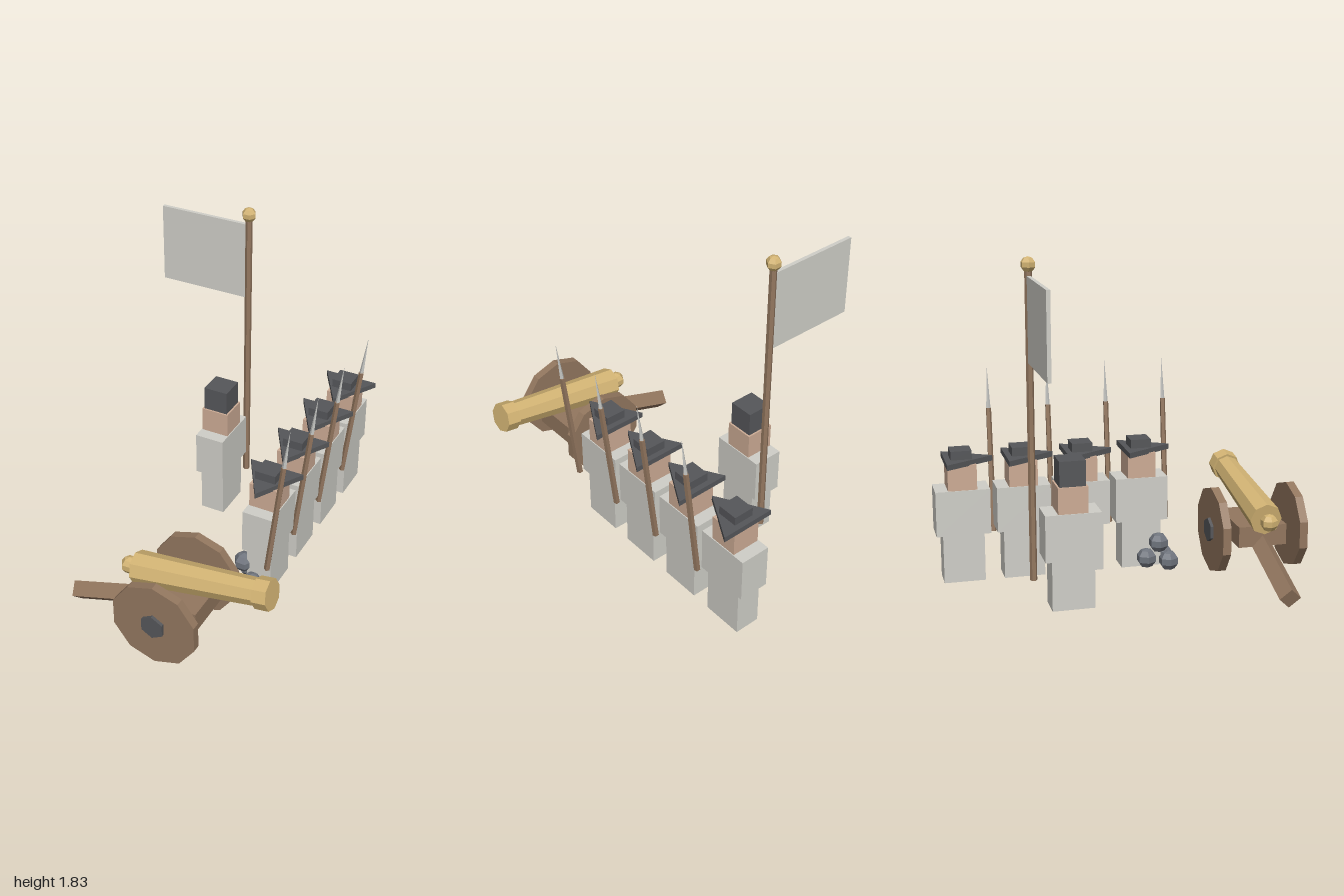
import * as THREE from 'three';

const paint = (name, color) => {
  const m = new THREE.MeshStandardMaterial({ color });
  m.name = name;
  return m;
};

export function createModel() {
  const cloth = paint('pale cloth', 0xd0cfc8);
  const skin = paint('skin', 0xcdac95);
  const felt = paint('dark felt', 0x56575a);
  const wood = paint('wood', 0x93775f);
  const brass = paint('brass', 0xd3b474);
  const iron = paint('iron', 0x70757e);
  const steel = paint('steel', 0xcacbc8);

  const root = new THREE.Group();
  root.name = 'gunCrew';
  const V = (x, y, z) => new THREE.Vector3(x, y, z);

  const group = (name, x = 0, y = 0, z = 0) => {
    const g = new THREE.Group();
    g.name = name;
    g.position.set(x, y, z);
    root.add(g);
    return g;
  };

  // Every part is faceted: split the faces and give each a flat normal
  const add = (parent, name, geo, mat, x = 0, y = 0, z = 0) => {
    const flat = geo.index ? geo.toNonIndexed() : geo;
    flat.computeVertexNormals();
    const mesh = new THREE.Mesh(flat, mat);
    mesh.name = name;
    mesh.position.set(x, y, z);
    parent.add(mesh);
    return mesh;
  };
  // Box given by its width, depth and bottom and top heights
  const block = (parent, name, mat, w, d, y0, y1, x = 0, z = 0) =>
    add(parent, name, new THREE.BoxGeometry(w, y1 - y0, d), mat, x, (y0 + y1) / 2, z);
  const ball = (parent, name, mat, r, x, y, z) =>
    add(parent, name, new THREE.SphereGeometry(r, 6, 5), mat, x, y, z);
  // Straight, possibly tapered bar from a to b
  const rod = (parent, name, mat, a, b, ra, rb, sides) => {
    const dir = b.clone().sub(a);
    const mid = a.clone().add(b).multiplyScalar(0.5);
    const geo = new THREE.CylinderGeometry(rb, ra, dir.length(), sides);
    const mesh = add(parent, name, geo, mat, mid.x, mid.y, mid.z);
    mesh.quaternion.setFromUnitVectors(V(0, 1, 0), dir.normalize());
    return mesh;
  };

  // Legs, torso and head shared by all figures
  const figure = (name, x, z) => {
    const g = group(name, x, 0, z);
    block(g, 'legs', cloth, 0.14, 0.225, 0.03, 0.3);
    block(g, 'torso', cloth, 0.167, 0.295, 0.3, 0.55);
    block(g, 'head', skin, 0.157, 0.157, 0.55, 0.69);
    return g;
  };

  // File of four soldiers with three-cornered hats and muskets
  for (let i = 0; i < 4; i++) {
    const s = figure('soldier' + (i + 1), 0.333, 0.142 - i * 0.331);
    add(s, 'hatBrim', new THREE.CylinderGeometry(0.175, 0.175, 0.03, 3), felt, 0, 0.7, 0);
    block(s, 'hatCrown', felt, 0.114, 0.114, 0.715, 0.763);
    rod(s, 'musket', wood, V(0.082, 0.257, 0.184), V(0.162, 0.94, 0.184), 0.017, 0.015, 5);
    rod(s, 'bayonet', steel, V(0.162, 0.94, 0.184), V(0.19, 1.17, 0.184), 0.012, 0, 4);
  }

  // Standard bearer with a tall square hat
  const bearer = figure('standardBearer', -0.213, -0.361);
  block(bearer, 'tallHat', felt, 0.138, 0.138, 0.69, 0.825);

  // Flag on its pole
  const standard = group('standard', -0.143, 0, -0.545);
  rod(standard, 'pole', wood, V(0, 0.16, 0), V(0, 1.78, 0), 0.019, 0.019, 6);
  ball(standard, 'finial', brass, 0.04, 0, 1.8, 0);
  block(standard, 'flag', cloth, 0.5, 0.02, 1.31, 1.745, -0.266);

  // Gun carriage, centred on the wheel axis
  const gun = group('cannon', 0.107, 0.268, 0.74);
  block(gun, 'carriageBed', wood, 0.36, 0.272, -0.058, 0.058);
  rod(gun, 'trail', wood, V(-0.61, -0.202, 0), V(0, 0, 0), 0.059, 0.059, 4);
  for (const side of [-1, 1]) {
    const wheel = new THREE.CylinderGeometry(0.241, 0.241, 0.046, 10).rotateX(Math.PI / 2);
    add(gun, 'wheel', wheel, wood, 0, 0, side * 0.22);
    const hub = new THREE.CylinderGeometry(0.068, 0.068, 0.04, 6).rotateX(Math.PI / 2);
    add(gun, 'hub', hub, felt, 0, 0, side * 0.24);
  }

  // Tapered barrel with muzzle ring and rear knob
  const breech = V(-0.225, 0.108, 0);
  const muzzle = V(0.533, 0.229, 0);
  rod(gun, 'barrel', brass, breech, muzzle, 0.09, 0.068, 8);
  rod(gun, 'muzzleRing', brass, breech.clone().lerp(muzzle, 0.9), muzzle, 0.083, 0.083, 8);
  ball(gun, 'breechKnob', brass, 0.049, -0.273, 0.105, 0);

  // Small pile of shot
  const pile = group('shotPile');
  for (const [x, y, z] of [[0.168, 0.086, 0.275], [0.305, 0.086, 0.275], [0.235, 0.086, 0.165], [0.235, 0.172, 0.235]]) {
    ball(pile, 'shot', iron, 0.057, x, y, z);
  }
  return root;
}
